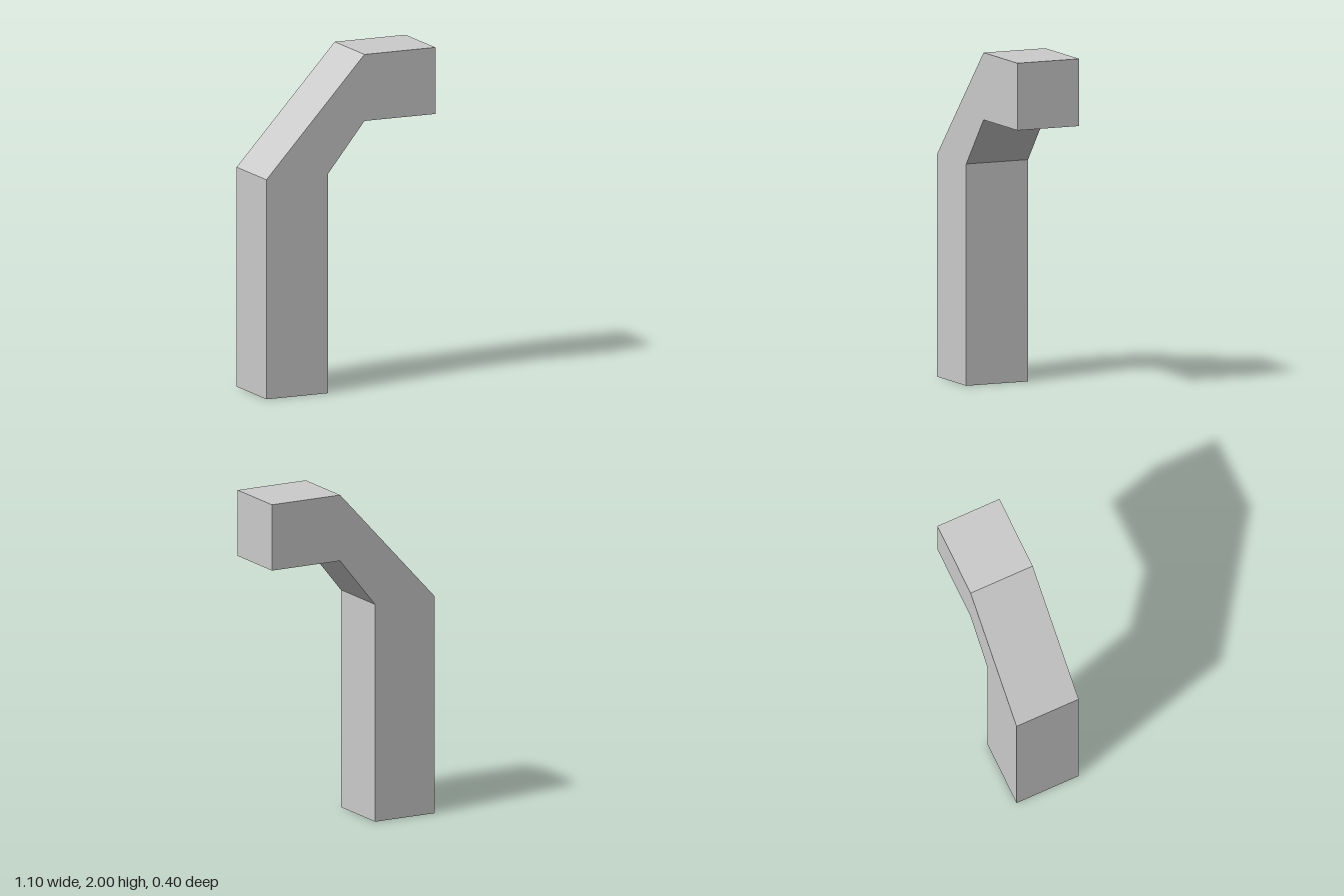
import * as THREE from 'three';

export function createModel() {
  const group = new THREE.Group();
  group.name = 'bentPost';
  const depth = 0.4;

  // Side outline: upright, sloped elbow and horizontal arm, counter-clockwise
  const outline = [
    [-0.548, 0], [-0.148, 0], [-0.148, 1.31], [0.088, 1.603],
    [0.548, 1.603], [0.548, 2], [0.088, 2], [-0.548, 1.31],
  ].map(([x, y]) => new THREE.Vector2(x, y));

  // Square-section beam with crisp edges
  const geometry = new THREE.ExtrudeGeometry(new THREE.Shape(outline), {
    depth, bevelEnabled: false,
  });
  geometry.translate(0, 0, -depth / 2);

  const beam = new THREE.Mesh(
    geometry,
    new THREE.MeshStandardMaterial({ color: 0xcccccc, flatShading: true }),
  );
  beam.name = 'bentBeam';
  group.add(beam);
  return group;
}
